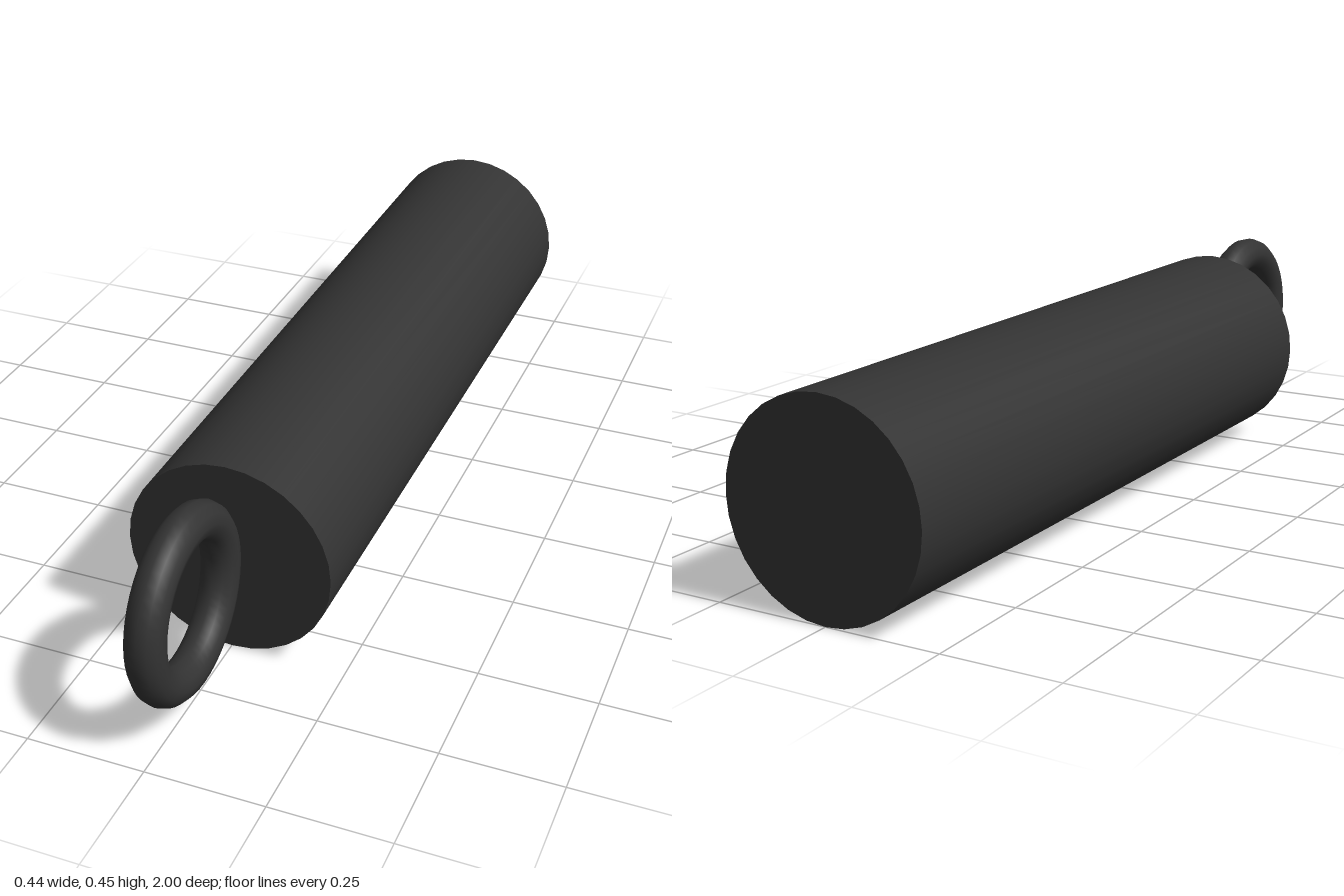
import * as THREE from 'three';

export function createModel() {
  const model = new THREE.Group();
  model.name = 'handleWithRing';
  const material = new THREE.MeshStandardMaterial({ color: 0x333333 });

  // Long solid cylinder lying along z
  const radius = 0.22, back = -1, front = 0.6;
  const body = new THREE.Mesh(
    new THREE.CylinderGeometry(radius, radius, front - back, 32).rotateX(Math.PI / 2),
    material
  );
  body.name = 'body';
  body.position.set(0, radius, (front + back) / 2);
  model.add(body);

  // Upright ring touching the front end, its hole facing sideways
  const ring = new THREE.Mesh(
    new THREE.TorusGeometry(0.163, 0.04, 12, 48).rotateY(Math.PI / 2),
    material
  );
  ring.name = 'ring';
  ring.position.set(0, 0.252, 0.797);
  model.add(ring);

  return model;
}
